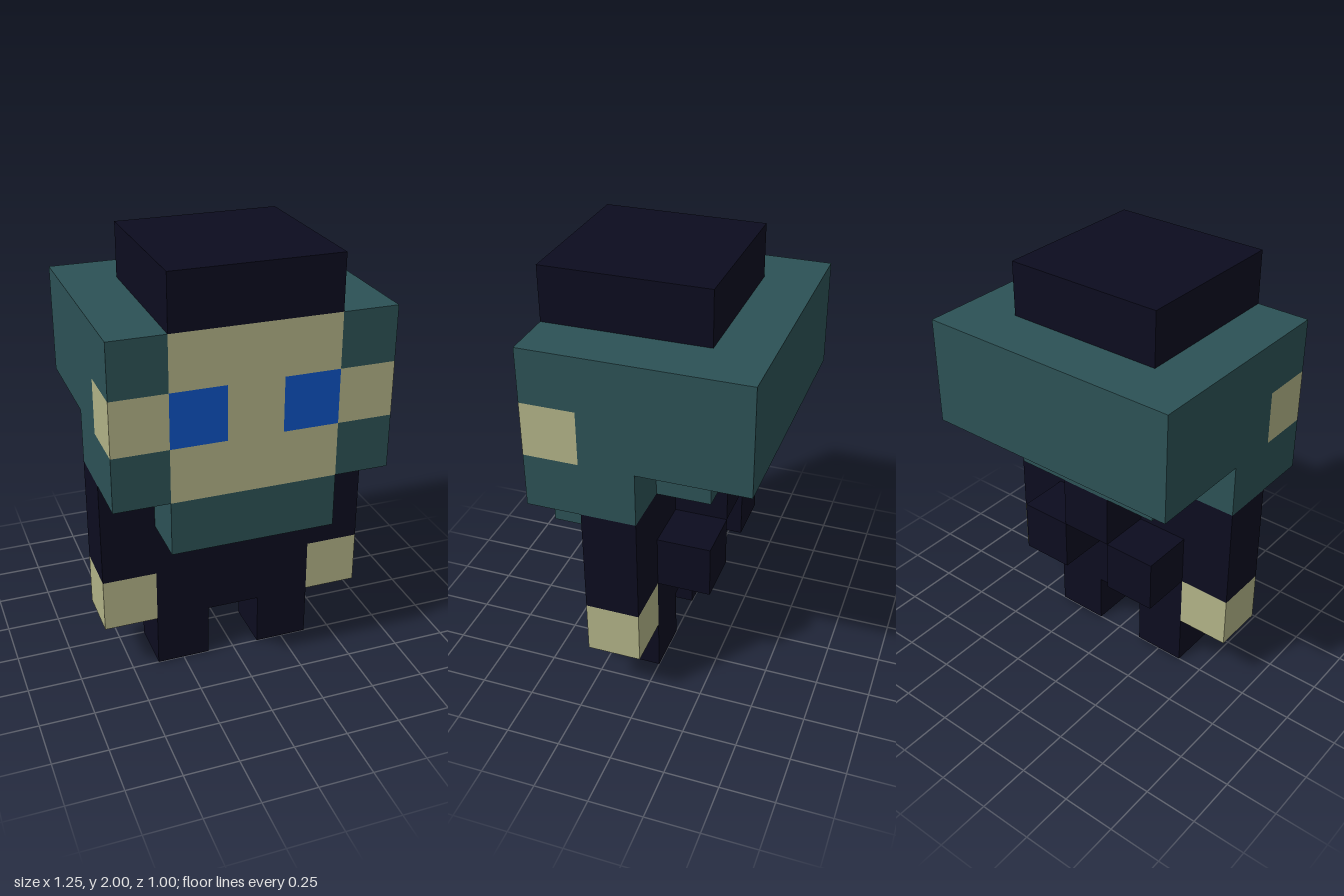
import * as THREE from 'three';

const U = 0.25; // edge of one block

export function createModel() {
  const mat = (name, color) => {
    const m = new THREE.MeshStandardMaterial({ color });
    m.name = name;
    return m;
  };
  const dark = mat('dark navy', 0x0c0c1f);
  const teal = mat('teal', 0x2c5155);
  const skin = mat('skin', 0xb1b286);
  const blue = mat('eye blue', 0x0d52c0);

  const model = new THREE.Group();
  model.name = 'blockFigure';

  // Box spanning [min, max] on each axis, in block units
  const block = (name, material, [x0, x1], [y0, y1], [z0, z1]) => {
    const mesh = new THREE.Mesh(
      new THREE.BoxGeometry((x1 - x0) * U, (y1 - y0) * U, (z1 - z0) * U), material);
    mesh.position.set((x0 + x1) / 2 * U, (y0 + y1) / 2 * U, (z0 + z1) / 2 * U);
    mesh.name = name;
    model.add(mesh);
  };
  // The same box on both sides
  const pair = (name, material, [x0, x1], y, z) => {
    block(name + 'Left', material, [x0, x1], y, z);
    block(name + 'Right', material, [-x1, -x0], y, z);
  };

  const mid = [-1.5, 1.5], full = [-2.5, 2.5], side = [1.5, 2.5];
  const faceZ = [1, 2], bodyZ = [0, 1], backZ = [-1, 0];

  // Hat and hood
  block('hat', dark, mid, [7, 8], [-1, 2]);
  block('hood', teal, full, [5, 7], [-2, 1]);
  block('hoodLower', teal, full, [4, 5], bodyZ);
  block('hoodNape', teal, mid, [4, 5], backZ);
  pair('hoodTopCorner', teal, side, [6, 7], faceZ);
  pair('hoodBottomCorner', teal, side, [4, 5], faceZ);

  // Face
  block('forehead', skin, mid, [6, 7], faceZ);
  block('nose', skin, [-0.5, 0.5], [5, 6], faceZ);
  block('mouthArea', skin, mid, [4, 5], faceZ);
  pair('eye', blue, [0.5, 1.5], [5, 6], faceZ);
  pair('cheek', skin, side, [5, 6], faceZ);
  block('collar', teal, mid, [3, 4], faceZ);

  // Body, arms and legs
  block('torso', dark, mid, [1, 4], bodyZ);
  pair('sleeve', dark, side, [2, 4], bodyZ);
  pair('hand', skin, side, [1, 2], bodyZ);
  pair('leg', dark, [0.5, 1.5], [0, 1], bodyZ);

  // Bow on the back
  block('bowKnot', dark, [-0.5, 0.5], [3, 4], backZ);
  pair('bowTail', dark, [0.5, 1.5], [2, 3], backZ);

  return model;
}
